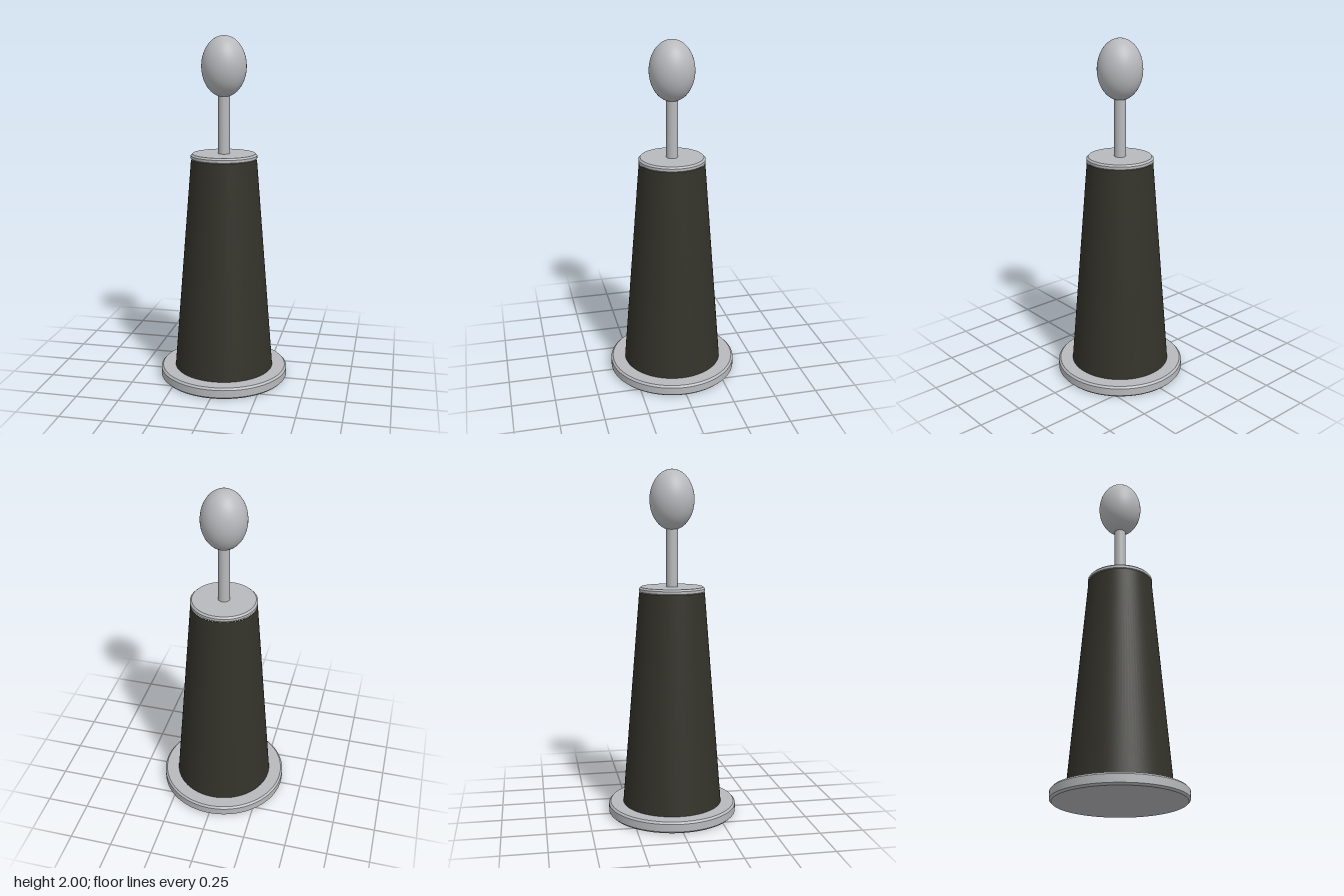
import * as THREE from 'three';
import { toCreasedNormals } from 'three/addons/utils/BufferGeometryUtils.js';

const SEGMENTS = 96;

// Disc with chamfered rims, smooth around the side and sharp at the edges
function chamferedDisc(radius, y0, y1, chamfer) {
  const profile = [
    [0, y0], [radius - chamfer, y0], [radius, y0 + chamfer],
    [radius, y1 - chamfer], [radius - chamfer, y1], [0, y1],
  ].map(([x, y]) => new THREE.Vector2(x, y));
  return toCreasedNormals(new THREE.LatheGeometry(profile, SEGMENTS), 0.5);
}

export function createModel() {
  const metal = new THREE.MeshStandardMaterial({ name: 'silver grey', color: 0xb8b9bc });
  const dark = new THREE.MeshStandardMaterial({ name: 'dark olive black', color: 0x33322a });

  const model = new THREE.Group();
  model.name = 'taperedStand';

  function add(name, geometry, material, y = 0) {
    const mesh = new THREE.Mesh(geometry, material);
    mesh.name = name;
    mesh.position.y = y;
    model.add(mesh);
    return mesh;
  }

  // Foot plate and top cap
  add('base', chamferedDisc(0.375, 0, 0.066, 0.011), metal);
  add('topCap', chamferedDisc(0.19, 1.305, 1.34, 0.01), metal);

  // Tapered column between them
  add('body', new THREE.CylinderGeometry(0.188, 0.29, 1.25, SEGMENTS, 1, true), dark, 0.685);

  // Rod carrying the egg-shaped knob
  add('rod', new THREE.CylinderGeometry(0.033, 0.033, 0.36, 48), metal, 1.51);
  const knob = add('knob', new THREE.SphereGeometry(1, 64, 40), metal, 1.83);
  knob.scale.set(0.127, 0.17, 0.127);

  return model;
}
